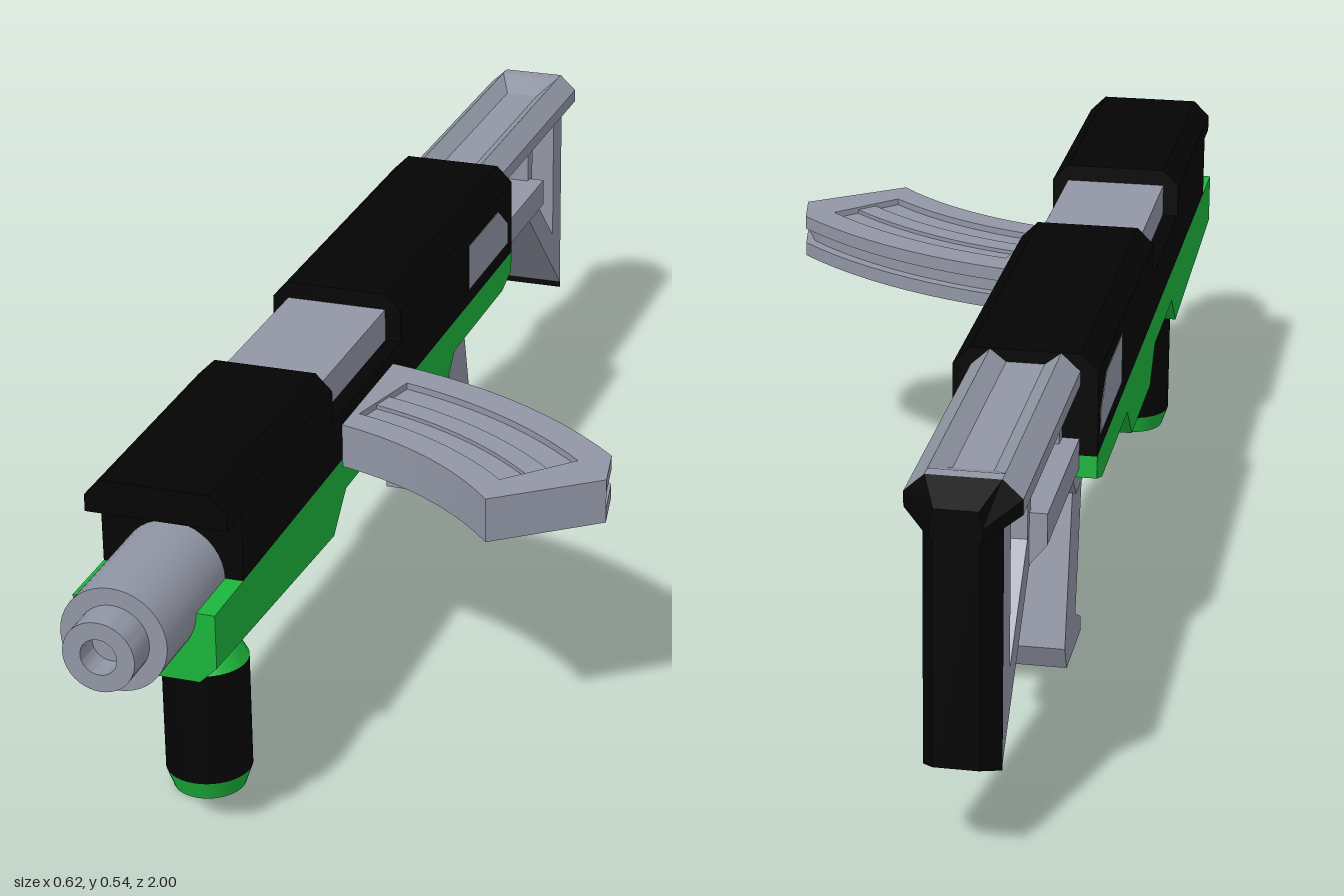
import * as THREE from 'three';
import { toCreasedNormals } from 'three/addons/utils/BufferGeometryUtils.js';

const AXIS_X = -0.207;

export function createModel() {
  const paint = (name, color) => {
    const m = new THREE.MeshStandardMaterial({ color });
    m.name = name;
    return m;
  };
  const grey = paint('metal grey', 0x9196a5);
  const black = paint('matte black', 0x040404);
  const green = paint('bright green', 0x1cb53c);

  const model = new THREE.Group();
  model.name = 'model';
  const gun = new THREE.Group();
  gun.name = 'gun';
  gun.position.x = AXIS_X;
  model.add(gun);

  const add = (name, geometry, material, parent = gun) => {
    const mesh = new THREE.Mesh(toCreasedNormals(geometry, 0.5), material);
    mesh.name = name;
    parent.add(mesh);
    return mesh;
  };
  // outlines and holes all run counter-clockwise, so that hole walls face inward
  const loop = pts => {
    const v = pts.map(([a, b]) => new THREE.Vector2(a, b));
    return THREE.ShapeUtils.isClockWise(v) ? v.reverse() : v;
  };
  const outline = (pts, holes = []) => {
    const s = new THREE.Shape(loop(pts));
    for (const h of holes) s.holes.push(new THREE.Path(loop(h)));
    return s;
  };
  const extrude = (shape, depth) => new THREE.ExtrudeGeometry(shape, { depth, bevelEnabled: false });
  // side profile of [z, y] points, extruded between two x values
  const side = (pts, x0, x1, holes) =>
    extrude(outline(pts, holes), x1 - x0).rotateY(-Math.PI / 2).translate(x1, 0, 0);
  // cross-section of [x, y] points, extruded between two z values
  const section = (pts, z0, z1) => extrude(outline(pts), z1 - z0).translate(0, 0, z0);
  const rect = (w, y0, y1) => [[-w, y0], [w, y0], [w, y1], [-w, y1]];
  const chamfered = (w, y0, y1, c) =>
    [[-w, y0], [w, y0], [w, y1 - c], [w - c, y1], [c - w, y1], [-w, y1 - c]];
  // full symmetric cross-section from the points of its +x half
  const mirrored = half => [...half, ...half.map(([x, y]) => [-x, y]).reverse()];
  const moveVertices = (g, rule) => {
    const p = g.attributes.position, v = new THREE.Vector3();
    for (let i = 0; i < p.count; i++) {
      rule(v.fromBufferAttribute(p, i));
      p.setXYZ(i, v.x, v.y, v.z);
    }
    return g;
  };
  const W = 0.1025;

  // Upper receiver
  add('frontReceiver', section(chamfered(W, 0.39, 0.54, 0.025), 0.385, 0.745), black);
  add('frontOverhang', section(chamfered(W, 0.49, 0.54, 0.025), 0.745, 0.797), black);
  add('middleReceiver', section(rect(W, 0.39, 0.465), 0.083, 0.385), black);
  add('rearReceiver', section(chamfered(W, 0.39, 0.54, 0.025), -0.485, 0.083), black);
  add('breechCover', section(rect(0.078, 0.465, 0.515), 0.083, 0.385), grey);

  // Side plates
  const plate = [[-0.255, 0.415], [-0.255, 0.49], [-0.41, 0.49], [-0.462, 0.45], [-0.462, 0.415]];
  add('leftPlate', side(plate, W - 0.002, W + 0.001), grey);
  add('rightPlate', side(plate, -W - 0.001, -W + 0.002), grey);

  // Lower receiver with a nose whose bottom corners are cut away toward the front
  add('lowerReceiver', side([
    [0.39, 0.39], [0.39, 0.285], [0.335, 0.337], [0.13, 0.337], [0.08, 0.285],
    [-0.125, 0.285], [-0.18, 0.34], [-0.435, 0.34], [-0.485, 0.357], [-0.485, 0.39],
  ], -W, W), green);
  const nose = section([
    [W, 0.39], [-W, 0.39], [-W, 0.31], [0.025 - W, 0.285], [W - 0.025, 0.285], [W, 0.31],
  ], 0.39, 0.85);
  add('lowerNose', moveVertices(nose, v => {
    if (v.z < 0.5 && v.y < 0.32) v.set(Math.sign(v.x) * W, 0.285, v.z);
  }), green);

  // Barrel with a stepped, bored muzzle
  const turned = (pts, n = 40) => new THREE.LatheGeometry(pts.map(([r, y]) => new THREE.Vector2(r, y)), n);
  add('barrel', turned([
    [0.076, 0.72], [0.076, 0.95], [0.051, 0.95], [0.051, 1], [0.026, 1], [0.026, 0.96], [0, 0.96],
  ]).rotateX(Math.PI / 2).translate(0, 0.39, 0), grey);

  // Foregrip
  add('foregripRail', section(mirrored([[0.04, 0.26], [0.057, 0.278], [0.057, 0.286]]), 0.495, 0.8), grey);
  const foregrip = new THREE.Group();
  foregrip.name = 'foregrip';
  foregrip.position.z = 0.645;
  gun.add(foregrip);
  add('gripPost', turned([[0.018, 0.22], [0.018, 0.265]]), grey, foregrip);
  add('gripCollar', turned([[0.0625, 0.205], [0.048, 0.232], [0, 0.232]]), green, foregrip);
  add('gripSleeve', turned([[0.0625, 0.03], [0.0625, 0.205]]), black, foregrip);
  add('gripCap', turned([[0, 0], [0.052, 0], [0.0625, 0.03]]), green, foregrip);

  // Rear grip
  add('gripMount', side([[-0.23, 0.341], [-0.29, 0.288], [-0.38, 0.288], [-0.435, 0.341]], -0.058, 0.058), grey);
  add('rearGrip', side([
    [-0.29, 0.29], [-0.38, 0.29], [-0.432, 0.065], [-0.412, 0.026],
    [-0.282, 0.026], [-0.282, 0.05], [-0.335, 0.078],
  ], -0.0525, 0.0525), grey);

  // Stock: narrow open frame between a wide grooved top rail and a wide lower bar
  const S = 0.077, N = 0.0525;
  add('stockFrame', side([
    [-0.485, 0.51], [-0.485, 0.34], [-0.755, 0.336], [-0.95, 0.143], [-0.95, 0.51],
  ], -N, N, [
    [[-0.51, 0.493], [-0.51, 0.415], [-0.745, 0.415], [-0.745, 0.493]],
    [[-0.77, 0.493], [-0.77, 0.382], [-0.9, 0.255], [-0.9, 0.493]],
  ]), grey);
  add('stockBrace', side([[-0.565, 0.41], [-0.565, 0.495], [-0.59, 0.495], [-0.59, 0.41]], -0.03, 0.03), grey);
  add('stockLowerBar', section(mirrored([[N, 0.339], [S, 0.37], [S, 0.415]]), -0.757, -0.485), grey);
  const rail = mirrored([[S, 0.494], [S, 0.515], [0.05, 0.54], [0.027, 0.522]]);
  add('stockRail', section(rail, -0.88, -0.485), grey);
  add('stockRailRamp', moveVertices(section(rail, -0.93, -0.88), v => {
    if (v.z < -0.9 && Math.abs(v.x) < 0.03) v.set(Math.sign(v.x) * 0.0499, 0.54, v.z);
  }), grey);
  add('stockRailEnd', section(mirrored([[S, 0.494], [S, 0.515], [0.05, 0.54]]), -0.95, -0.93), grey);

  // Butt pad: narrow with a wide head, tapered toward the back
  const pad = mirrored([[N, 0.133], [N, 0.494], [S, 0.494], [S, 0.515], [0.05, 0.54]]);
  add('buttPad', moveVertices(section(pad, -1, -0.95), v => {
    if (v.z < -0.99) {
      v.x *= Math.abs(v.x) > 0.06 ? 0.45 : 0.58;
      v.y = 0.155 + (v.y - 0.133) * 0.36 / 0.407;
    }
  }), black);

  // Side magazine: curved layers with an outer groove and recessed ribbed faces
  const magazine = new THREE.Group();
  magazine.name = 'magazine';
  magazine.position.set(-0.24, 0, 0.87);
  model.add(magazine);
  const polar = (r, deg) => [r * Math.sin(deg * Math.PI / 180), r * Math.cos(deg * Math.PI / 180)];
  const arc = (r, a, b, n = 12) => Array.from({ length: n + 1 }, (_, i) => polar(r, a + (b - a) * i / n));
  const band = (r0, r1, a, b) => [...arc(r1, a, b), ...arc(r0, b, a)];
  const body = r => [...arc(r, 8, 44.7), polar(Math.min(r, 0.72), 49.8), ...arc(0.54, 48.8, 8)];
  const layer = (name, y0, y1, pts, holes) =>
    add(name, extrude(outline(pts, holes), y1 - y0).rotateX(-Math.PI / 2).translate(0, y0, 0), grey, magazine);
  layer('magazineLower', 0.388, 0.4, body(0.762));
  layer('magazineGroove', 0.4, 0.424, body(0.745));
  layer('magazineUpper', 0.424, 0.435, body(0.762));
  for (const [label, frameY, ribY] of [['bottom', 0.378, 0.382], ['top', 0.435, 0.435]]) {
    layer(label + 'Frame', frameY, frameY + 0.01, body(0.762), [band(0.585, 0.712, 14.5, 44)]);
    layer(label + 'Rib', ribY, ribY + 0.006, band(0.63, 0.665, 14.5, 44));
  }
  return model;
}
